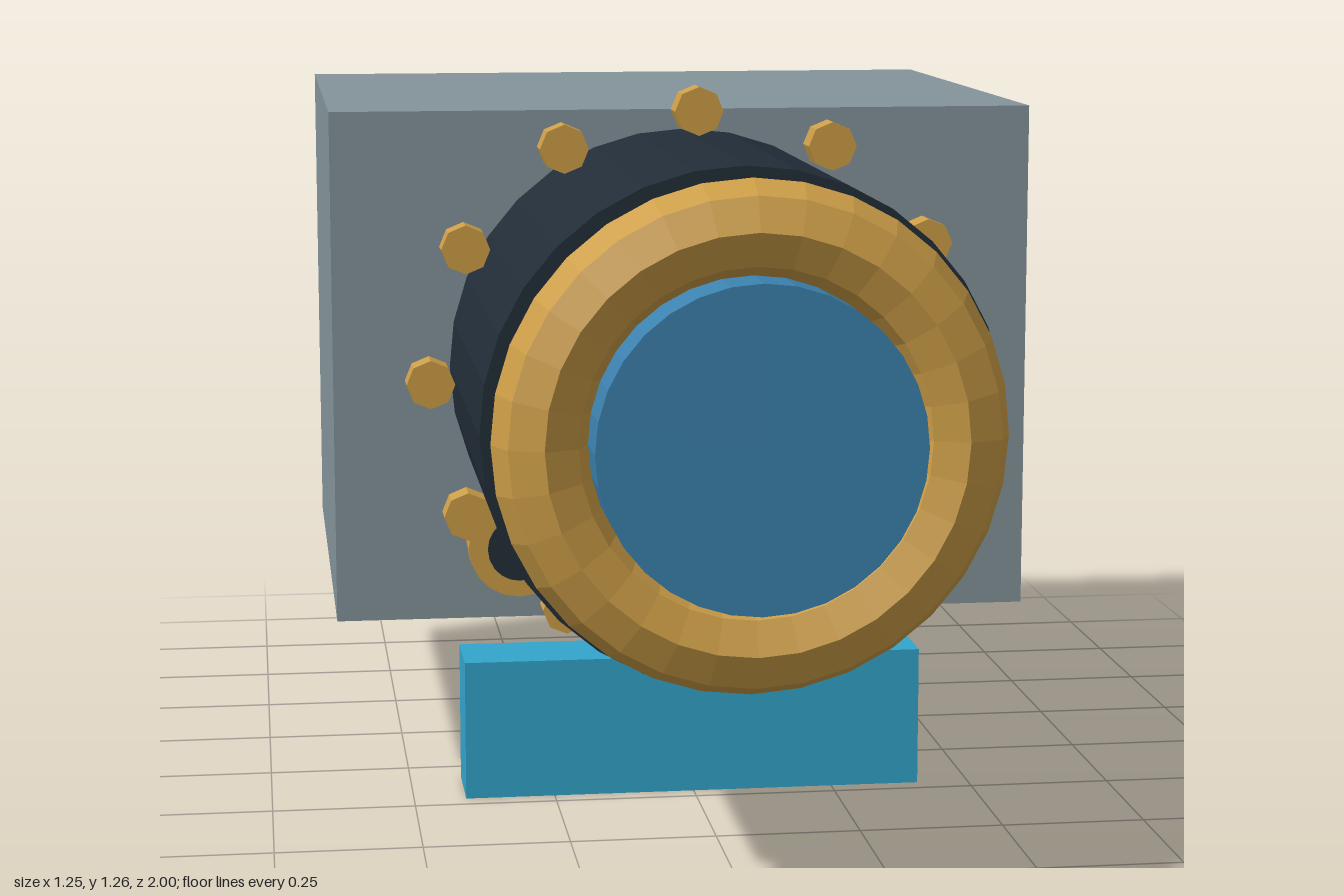
import * as THREE from 'three';

const AXIS_Y = 0.755; // height of the barrel axis

const material = (name, color) => {
  const m = new THREE.MeshStandardMaterial({ color, flatShading: true });
  m.name = name;
  return m;
};

export function createModel() {
  const model = new THREE.Group();
  const grey = material('housing grey', 0x84949b);
  const dark = material('barrel navy', 0x222d38);
  const gold = material('brass', 0xcd9e47);
  const blue = material('lens blue', 0x3c82b0);
  const cyan = material('base cyan', 0x33a5cc);

  const add = (name, geometry, mat, x, y, z) => {
    const mesh = new THREE.Mesh(geometry, mat);
    mesh.name = name;
    mesh.position.set(x, y, z);
    model.add(mesh);
    return mesh;
  };
  // Cylinder lying along z, from z0 to z1
  const drum = (name, r, z0, z1, sides, mat, x, y) =>
    add(name, new THREE.CylinderGeometry(r, r, z1 - z0, sides).rotateX(Math.PI / 2), mat, x, y, (z0 + z1) / 2);

  // Rear housing and foot bar
  add('housing', new THREE.BoxGeometry(1.254, 0.913, 1.075), grey, 0, 0.7535, -0.4625);
  add('footBar', new THREE.BoxGeometry(0.816, 0.247, 0.145), cyan, 0, 0.1235, 0.1425);

  // Barrel, front ring and lens
  drum('barrel', 0.42, 0.06, 0.815, 32, dark, 0, AXIS_Y);
  add('frontRing', new THREE.TorusGeometry(0.331, 0.077, 8, 32), gold, 0, AXIS_Y, 0.887);
  drum('lens', 0.258, 0.78, 1, 32, blue, 0, AXIS_Y);

  // Twelve studs around the barrel
  for (let i = 0; i < 12; i++) {
    const a = (i * Math.PI) / 6;
    drum('stud', 0.042, 0.22, 0.28, 8, gold, 0.465 * Math.cos(a), AXIS_Y + 0.465 * Math.sin(a));
  }

  // Small side knob with a dark centre
  drum('knob', 0.088, 0.22, 0.28, 20, gold, -0.315, 0.467);
  drum('knobCentre', 0.055, 0.215, 0.287, 20, dark, -0.315, 0.464);

  return model;
}
